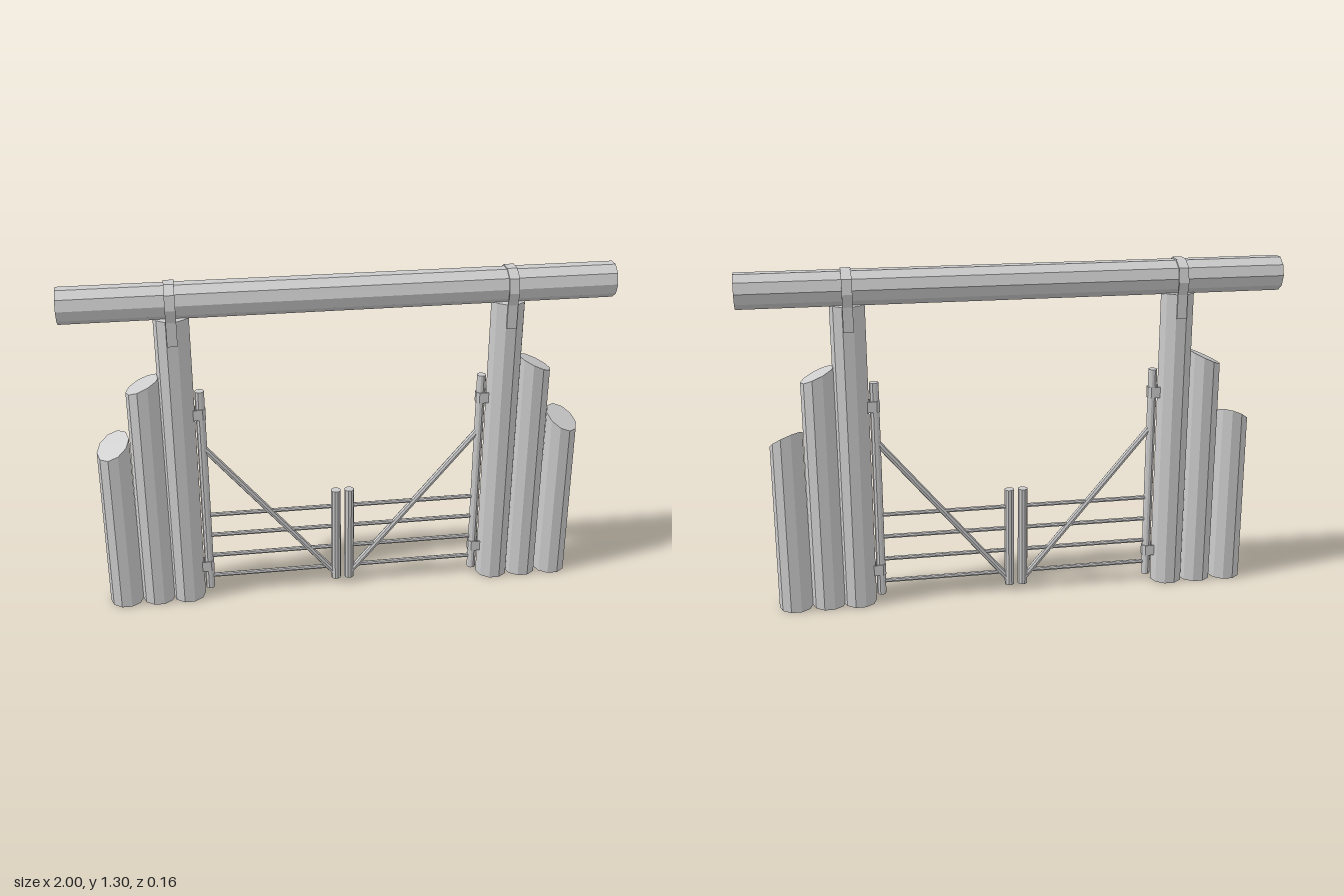
import * as THREE from 'three';

// Logs are hollow at the foot, so both sides of a surface show
const material = new THREE.MeshStandardMaterial({ color: 0xcccccc, flatShading: true, side: THREE.DoubleSide });

function part(name, geometry, x = 0, y = 0, z = 0) {
  const mesh = new THREE.Mesh(geometry, material);
  mesh.name = name;
  mesh.position.set(x, y, z);
  return mesh;
}

// Upright log with an open foot; its top is sawn along a plane with slopes ax and az
function log(name, x, bottom, top, rTop, rBottom, ax = 0, az = 0) {
  const h = top - bottom;
  const g = new THREE.CylinderGeometry(rTop, rBottom, h, 10, 1, false, Math.PI / 2);
  const foot = g.groups[2];
  g.setIndex(Array.from(g.index.array).slice(0, foot.start));
  g.clearGroups();
  const p = g.attributes.position;
  for (let i = 0; i < p.count; i++) {
    if (p.getY(i) > 0) p.setY(i, h / 2 + ax * p.getX(i) + az * p.getZ(i));
  }
  return part(name, g, x, (top + bottom) / 2, 0);
}

// Thin pole between two points
function pole(name, a, b, r) {
  const d = b.clone().sub(a);
  const mesh = part(name, new THREE.CylinderGeometry(r, r, d.length(), 8));
  mesh.position.copy(a).add(b).multiplyScalar(0.5);
  mesh.quaternion.setFromUnitVectors(new THREE.Vector3(0, 1, 0), d.normalize());
  return mesh;
}

// Bent metal band: a clockwise path given a thickness on its inner side, then a width
function band(path, thickness, width) {
  const pts = path.map(([x, y]) => new THREE.Vector2(x, y));
  const inner = pts.map((p, i) => {
    const d = pts[Math.min(i + 1, pts.length - 1)].clone().sub(pts[Math.max(i - 1, 0)]).normalize();
    return new THREE.Vector2(p.x + d.y * thickness, p.y - d.x * thickness);
  });
  const shape = new THREE.Shape([...pts, ...inner.reverse()]);
  const g = new THREE.ExtrudeGeometry(shape, { depth: width, bevelEnabled: false });
  return g.translate(0, 0, -width / 2);
}

export function createModel() {
  const model = new THREE.Group();
  model.name = 'logGateway';

  // Crossbeam
  const beam = part('crossbeam', new THREE.CylinderGeometry(0.0655, 0.0655, 2, 10), 0, 1.229, 0);
  beam.rotation.z = Math.PI / 2;
  model.add(beam);

  const strapPath = [[-0.067, 1.08], [-0.067, 1.17], [-0.078, 1.217], [-0.067, 1.27], [-0.025, 1.296],
    [0.025, 1.296], [0.067, 1.27], [0.078, 1.217], [0.067, 1.17], [0.067, 1.08]];
  const claspPath = [[-0.02, -0.035], [-0.02, 0.008], [-0.01, 0.019], [0.01, 0.019], [0.02, 0.008], [0.02, -0.035]];

  for (const s of [1, -1]) {
    const side = s > 0 ? 'left' : 'right';

    // Three stepped posts
    model.add(log(side + 'MainPost', s * 0.612, 0, 1.17, 0.0635, 0.0635));
    model.add(log(side + 'MiddlePost', s * 0.73, 0, 0.915, 0.062, 0.0635, -s * 0.46, 0));
    model.add(log(side + 'OuterPost', s * 0.855, 0, 0.675, 0.0605, 0.0635, -s * 0.41, -0.46));

    // Strap holding the beam on the post
    const strap = part(side + 'BeamStrap', band(strapPath, 0.006, 0.037), s * 0.612, 0, 0);
    strap.rotation.y = Math.PI / 2;
    model.add(strap);

    // Gate leaf
    const gate = new THREE.Group();
    gate.name = side + 'Gate';
    gate.add(log('hingeStile', s * 0.528, 0.027, 0.875, 0.0175, 0.0175));
    gate.add(log('meetingStile', s * 0.026, 0.025, 0.423, 0.019, 0.019));
    for (const y of [0.078, 0.17, 0.262, 0.352]) {
      gate.add(pole('rail', new THREE.Vector3(s * 0.035, y, 0), new THREE.Vector3(s * 0.525, y, 0), 0.0085));
    }
    gate.add(pole('brace', new THREE.Vector3(s * 0.035, 0.053, 0), new THREE.Vector3(s * 0.525, 0.643, 0), 0.0125));

    // Hinge clasps wrap the stile and reach back to the post
    for (const y of [0.13, 0.785]) {
      const clasp = part('hingeClasp', band(claspPath, 0.004, 0.042), s * 0.528, y, 0);
      clasp.rotation.set(Math.PI / 2, 0, s * Math.PI / 2);
      gate.add(clasp);
    }
    model.add(gate);
  }
  return model;
}
